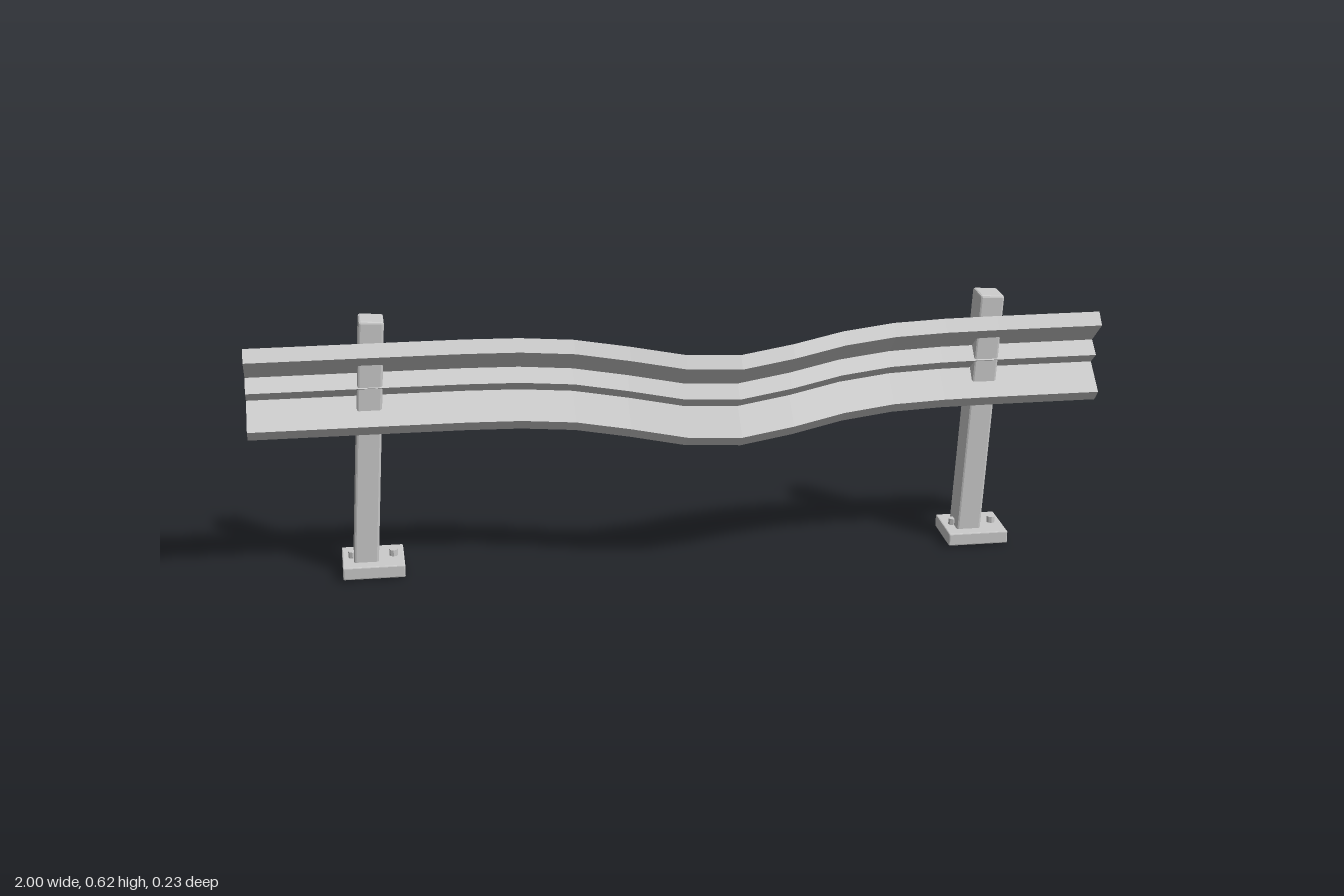
import * as THREE from 'three';
import { RoundedBoxGeometry } from 'three/addons/geometries/RoundedBoxGeometry.js';

const metal = new THREE.MeshStandardMaterial({ color: 0xcccccc, flatShading: true });
const sheet = new THREE.MeshStandardMaterial({ color: 0xcccccc, flatShading: true, side: THREE.DoubleSide });

function add(parent, name, geometry, x, y, z, material = metal) {
  const mesh = new THREE.Mesh(geometry, material);
  mesh.name = name;
  mesh.position.set(x, y, z);
  parent.add(mesh);
  return mesh;
}

// Folded sheet rail: a zigzag section swept along x, with a dent bulging forward and down
function railGeometry() {
  const section = [ // [z, y] from top edge to bottom edge
    [0, 0.573], [0.025, 0.546], [-0.042, 0.491], [-0.007, 0.463],
    [-0.042, 0.436], [0.025, 0.381], [0, 0.354],
  ];
  const columns = 16;
  const geometry = new THREE.PlaneGeometry(2, 1, columns, section.length - 1);
  const pos = geometry.attributes.position;
  const bump = (x, centre, width2) => Math.exp(-((x - centre) ** 2) / width2);
  for (let i = 0; i < pos.count; i++) {
    const x = pos.getX(i);
    const [z, y] = section[Math.floor(i / (columns + 1))];
    pos.setXYZ(i, x, y - 0.041 * bump(x, 0.065, 0.065), z + 0.09 * bump(x, 0.125, 0.07));
  }
  const flat = geometry.toNonIndexed();
  flat.computeVertexNormals();
  return flat;
}

// Leaning post on a bolted base plate
function createPost(name, x) {
  const group = new THREE.Group();
  group.name = name;
  group.position.set(x, 0, -0.046);
  const post = add(group, 'post', new RoundedBoxGeometry(0.058, 0.619, 0.074, 1, 0.005), 0, 0.311, 0);
  post.rotation.z = -0.06;
  add(group, 'basePlate', new RoundedBoxGeometry(0.145, 0.031, 0.135, 1, 0.003), 0, 0.0195, 0);
  for (const side of [-1, 1]) {
    add(group, 'bolt', new THREE.CylinderGeometry(0.01, 0.01, 0.02, 8), side * 0.048, 0.04, 0);
  }
  return group;
}

export function createModel() {
  const model = new THREE.Group();
  model.name = 'guardRail';
  add(model, 'rail', railGeometry(), 0, 0, 0, sheet);
  model.add(createPost('rightPost', -0.7275), createPost('leftPost', 0.7225));
  return model;
}
